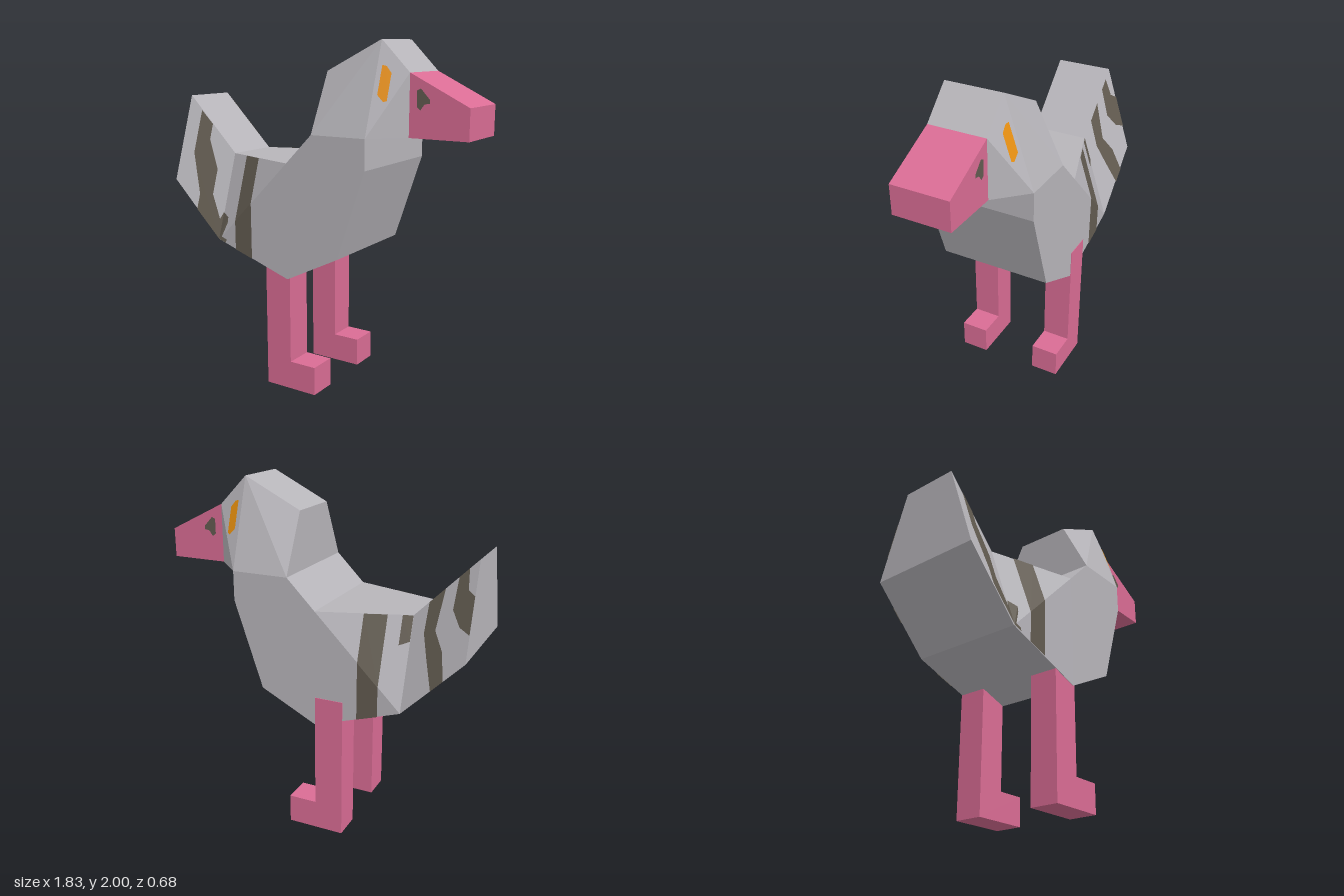
import * as THREE from 'three';
import { ConvexGeometry } from 'three/addons/geometries/ConvexGeometry.js';

const mat = (name, color, side = THREE.FrontSide) => {
  const m = new THREE.MeshStandardMaterial({ color, side, flatShading: true });
  m.name = name;
  return m;
};

export function createModel() {
  const group = new THREE.Group();
  const grey = mat('plumageGrey', 0xb7b5ba);
  const pink = mat('skinPink', 0xd96c94);
  const brown = mat('stripeBrown', 0x625b50, THREE.DoubleSide);
  const amber = mat('eyeAmber', 0xee940f, THREE.DoubleSide);

  const add = (name, geometry, material) => {
    const mesh = new THREE.Mesh(geometry, material);
    mesh.name = name;
    group.add(mesh);
    return mesh;
  };

  // Faceted solid, symmetric in z, from [x, y, half width] corners
  const N = 0.167, W = 0.333;
  const solid = (name, material, corners) => add(name, new ConvexGeometry(
    corners.flatMap(([x, y, w]) => [new THREE.Vector3(x, y, w), new THREE.Vector3(x, y, -w)])), material);

  solid('tail', grey, [[-0.917, 1.667, N], [-0.917, 1.167, W], [-0.583, 1.333, N], [-0.583, 0.833, W]]);
  solid('rearBody', grey, [[-0.583, 1.333, N], [-0.583, 0.833, W], [-0.083, 1.333, W], [-0.083, 0.667, W]]);
  solid('chest', grey, [[-0.083, 1.333, W], [-0.083, 0.667, W], [0.25, 0.833, W],
    [0.417, 1.333, W], [0.417, 1.5, W], [0.083, 1.5, W]]);
  solid('headBack', grey, [[0.083, 1.5, W], [0.083, 1.833, N], [0.417, 2, N], [0.417, 1.5, W]]);
  solid('face', grey, [[0.417, 2, N], [0.417, 1.5, W], [0.583, 1.833, N], [0.583, 1.5, N]]);
  solid('beak', pink, [[0.583, 1.833, N], [0.583, 1.5, N], [0.917, 1.667, N], [0.917, 1.5, N]]);

  // L-shaped legs with feet pointing forward
  const shapeOf = pts => new THREE.Shape(pts.map(p => new THREE.Vector2(...p)));
  const legShape = shapeOf([[0, 0], [0.333, 0], [0.333, 0.167], [0.167, 0.167], [0.167, 0.833], [0, 0.833]]);
  for (const [name, x, z] of [['leftLeg', -0.236, 0.163], ['rightLeg', -0.25, -0.336]]) {
    const leg = add(name, new THREE.ExtrudeGeometry(legShape, { depth: 0.167, bevelEnabled: false }), pink);
    leg.position.set(x, 0, z);
  }

  // Thin painted patch laid on a flank; depth(x, y) gives the surface
  const paint = (name, material, pts, depth, side) => {
    const geometry = new THREE.ShapeGeometry(shapeOf(pts));
    const p = geometry.attributes.position;
    for (let i = 0; i < p.count; i++) p.setZ(i, side * (depth(p.getX(i), p.getY(i)) + 0.004));
    geometry.computeVertexNormals();
    add(name, geometry, material);
  };
  const tailZ = (x, y) => N + (0.75 - x - y) / 3;
  const bodyZ = (x, y) => Math.min(W, N + (x + 1.916 - y) / 3);
  const cheekZ = (x, y) => N + (2.417 - x - y) / 3;
  const beakZ = () => N;

  for (const side of [1, -1]) {
    paint('eye', amber, [[0.443, 1.87], [0.465, 1.865], [0.495, 1.83], [0.495, 1.69], [0.478, 1.685], [0.443, 1.72]], cheekZ, side);
    paint('nostril', brown, [[0.627, 1.745], [0.648, 1.755], [0.7, 1.7], [0.7, 1.68], [0.67, 1.676],
      [0.648, 1.645], [0.627, 1.66]], beakZ, side);
    // Body stripe, folded where the flank creases
    paint('bodyStripeUpper', brown, [[-0.455, 1.333], [-0.335, 1.333], [-0.335, 1.081], [-0.455, 0.961]], bodyZ, side);
    paint('bodyStripeLower', brown, [[-0.455, 0.961], [-0.335, 1.081], [-0.335, 0.751], [-0.455, 0.79]], bodyZ, side);
  }

  // Left tail markings
  paint('leftTailStripe', brown, [[-0.833, 1.58], [-0.75, 1.5], [-0.75, 1.41], [-0.67, 1.236], [-0.67, 1.09],
    [-0.6, 0.95], [-0.583, 0.99], [-0.583, 0.836], [-0.75, 1], [-0.75, 1.09], [-0.833, 1.33]], tailZ, 1);
  paint('leftBodyPatch', brown, [[-0.583, 0.99], [-0.53, 0.97], [-0.53, 0.818], [-0.583, 0.836]], bodyZ, 1);

  // Right tail markings, given as fractions along and down the tail
  const onTail = pts => pts.map(([u, v]) => [-0.583 - 0.334 * u, 1.333 + 0.334 * u - 0.5 * v]);
  paint('rightTailStripe', brown, onTail([[0.25, 0], [0.23, 0.3], [0.34, 0.62], [0.48, 1], [0.67, 1],
    [0.59, 0.67], [0.42, 0.37], [0.5, 0]]), tailZ, -1);
  paint('rightTailTipStripe', brown, onTail([[0.7, 0], [0.67, 0.3], [0.82, 0.55], [1, 0.72], [1, 0.35],
    [0.88, 0.22], [0.85, 0]]), tailZ, -1);
  paint('rightBodyPatch', brown, [[-0.583, 1.333], [-0.53, 1.333], [-0.53, 1.18], [-0.583, 1.2]], bodyZ, -1);

  return group;
}
